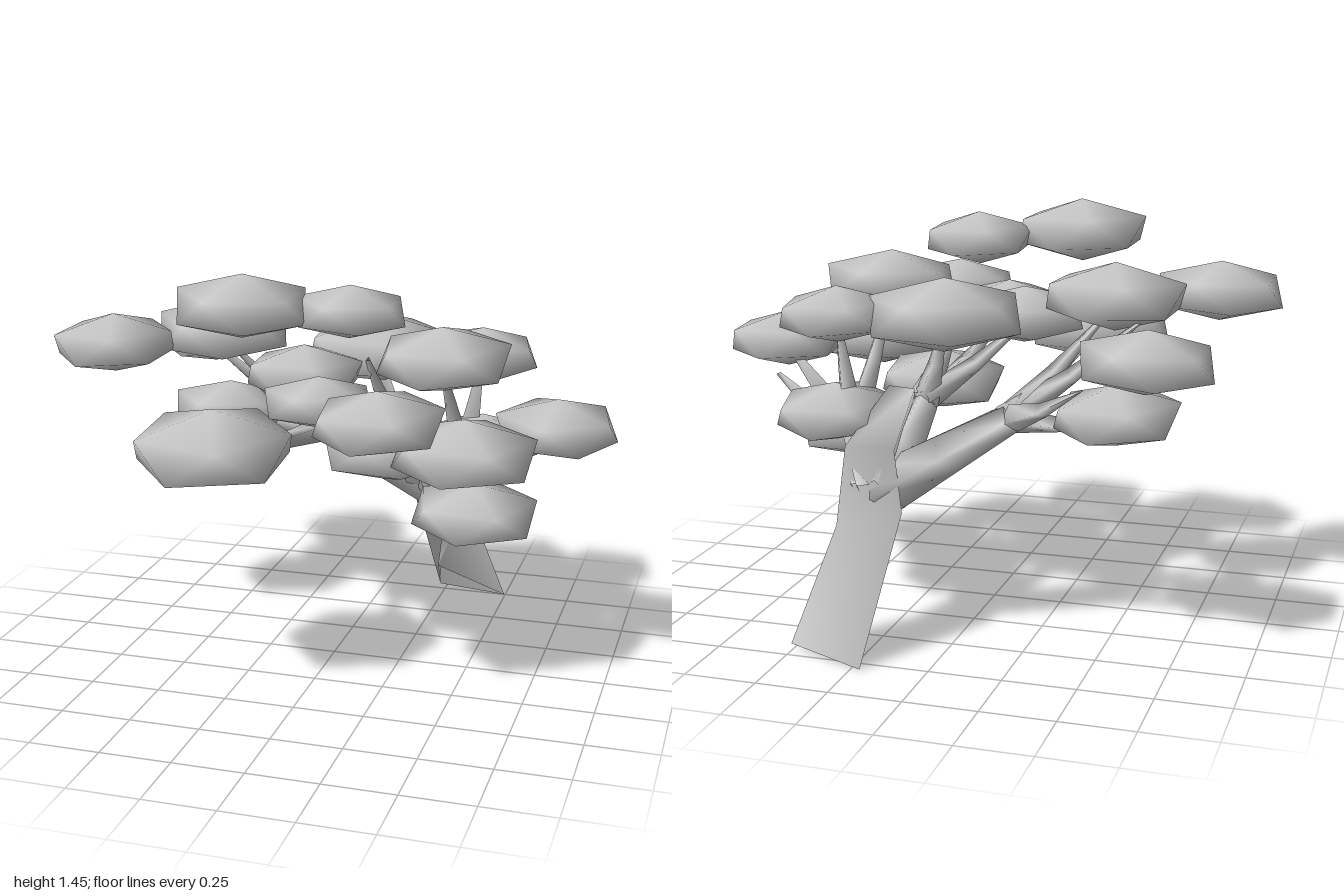
import * as THREE from 'three';
import { mergeVertices } from 'three/addons/utils/BufferGeometryUtils.js';

const V = (p) => new THREE.Vector3(...p);

// Loft through cross-sections that all have the same corner count
function loft(rings) {
  const n = rings[0].length, pos = [], idx = [];
  rings.forEach((r) => r.forEach((v) => pos.push(v.x, v.y, v.z)));
  for (let i = 0; i < rings.length - 1; i++) {
    for (let j = 0; j < n; j++) {
      const a = i * n + j, b = i * n + ((j + 1) % n);
      idx.push(a, b, b + n, a, b + n, a + n);
    }
  }
  const geo = new THREE.BufferGeometry();
  geo.setAttribute('position', new THREE.Float32BufferAttribute(pos, 3));
  geo.setIndex(idx);
  geo.computeVertexNormals();
  return geo;
}

// Three-sided tapering limb along a list of points
function limb(points, r0, r1) {
  const pts = points.map(V), last = pts.length - 1;
  return loft(pts.map((p, i) => {
    const t = pts[Math.min(i + 1, last)].clone().sub(pts[Math.max(i - 1, 0)]).normalize();
    const side = new THREE.Vector3(0, 0, 1).cross(t);
    if (side.length() < 0.3) side.set(0, 1, 0).cross(t);
    side.normalize();
    const up = t.clone().cross(side);
    const r = r0 + (r1 - r0) * (i / last);
    return [0, 1, 2].map((k) => {
      const a = (k * Math.PI * 2) / 3 + 0.5;
      return p.clone().addScaledVector(side, r * Math.cos(a)).addScaledVector(up, r * Math.sin(a));
    });
  }));
}

// Flattened icosahedron standing on a corner, keeping round, smooth normals
function puffGeometry() {
  let geo = new THREE.IcosahedronGeometry(1, 0);
  geo.deleteAttribute('normal');
  geo.deleteAttribute('uv');
  geo = mergeVertices(geo, 1e-3);
  geo.rotateZ(-Math.atan(2 / (1 + Math.sqrt(5))));
  geo.computeVertexNormals();
  const p = geo.attributes.position;
  for (let i = 0; i < p.count; i++) p.setY(i, p.getY(i) * 0.43);
  return geo;
}

export function createModel() {
  const tree = new THREE.Group();
  tree.name = 'tree';
  const grey = new THREE.MeshStandardMaterial({ color: 0xcccccc, side: THREE.DoubleSide });
  grey.name = 'pale grey';
  const add = (geo, name) => {
    const mesh = new THREE.Mesh(geo, grey);
    mesh.name = name;
    tree.add(mesh);
    return mesh;
  };

  // Leaning three-sided trunk
  add(loft([
    [[0.22, 0, -0.8], [0.24, 0.13, -0.66], [0.505, 0.02, -0.7]],
    [[0.12, 0.5, -0.65], [0.28, 0.35, -0.56], [0.36, 0.43, -0.63]],
    [[0.17, 0.69, -0.58], [0.25, 0.52, -0.36], [0.36, 0.68, -0.54]],
    [[0.16, 0.86, -0.4], [0.2, 0.78, -0.3], [0.26, 0.86, -0.38]],
  ].map((ring) => ring.map(V))), 'trunk');

  // Foliage: x, y, z, outline radius, parent limb, how far its branch reaches
  const puffs = [
    [-0.67, 1.04, -0.59, 0.212, 'left', 0],
    [-0.47, 1.165, -0.15, 0.237, 'left', 0.9],
    [-0.78, 1.155, 0.13, 0.213, 'left', 0],
    [-0.26, 1.335, 0.23, 0.227, 'left', 0],
    [-0.255, 0.925, 0.545, 0.265, 'left', 0.8],
    [-0.53, 0.81, -0.37, 0.21, 'left', 0.9],
    [0.085, 1.1, -0.305, 0.26, 'centre', 1],
    [0.085, 1.31, 0.1, 0.19, 'centre', 0.65],
    [-0.11, 1.06, 0, 0.205, 'centre', 1],
    [0.035, 1.04, 0.31, 0.18, 'centre', 0.9],
    [0.31, 1.055, 0.56, 0.212, 'centre', 0.5],
    [0.2, 0.805, 0.02, 0.22, 'centre', 1],
    [0.4, 1.15, 0.035, 0.23, 'right', 1],
    [0.793, 0.925, -0.01, 0.207, 'right', 1],
    [0.535, 0.9, 0.305, 0.238, 'right', 0.9],
    [0.46, 1.09, -0.34, 0.2, 'right', 1],
    [0.515, 0.6, 0.01, 0.217, 'low', 1],
    [0.46, 0.755, -0.365, 0.207, 'right', 1],
  ];

  // Main limbs leaving the fork
  const fork = [0.24, 0.53, -0.55];
  const hubs = {
    left: [-0.14, 0.76, -0.36],
    centre: [0.16, 0.8, -0.31],
    right: [0.4, 0.7, -0.38],
    low: [0.38, 0.61, -0.32],
    back: [-0.2, 0.8, -0.5],
  };
  for (const key in hubs) {
    const h = hubs[key];
    const mid = h.map((c, i) => (c + fork[i]) / 2);
    add(limb([fork, mid, h], 0.105, 0.055), key + 'Limb');
  }

  // Bare pointed twigs
  add(limb([hubs.back, [-0.32, 0.85, -0.55], [-0.48, 0.95, -0.64]], 0.055, 0.002), 'backTwig');
  add(limb([hubs.left, [-0.36, 0.92, -0.32], [-0.6, 1.12, -0.25]], 0.06, 0.004), 'leftTwig');
  add(limb([hubs.right, [0.58, 0.74, -0.3], [0.75, 0.83, -0.2]], 0.06, 0.01), 'rightTwig');

  const puffGeo = puffGeometry();
  puffs.forEach(([x, y, z, r, key, reach], i) => {
    // Branch rising from its limb towards the underside of the foliage
    if (reach > 0) {
      const h = V(hubs[key]);
      const end = h.clone().lerp(V([x, y - 0.03, z]), reach);
      const mid = h.clone().lerp(end, 0.5);
      mid.y -= 0.01;
      add(limb([h.toArray(), mid.toArray(), end.toArray()], 0.055, 0.01), 'branch' + (i + 1));
    }
    // Flattened leaf clump
    const puff = add(puffGeo, 'foliage' + (i + 1));
    puff.position.set(x, y, z);
    puff.scale.setScalar(r / 0.88);
    puff.rotation.set(0.03 * Math.sin(i * 2.1), i * 1.9, 0.04 * Math.cos(i * 1.3));
  });
  return tree;
}
